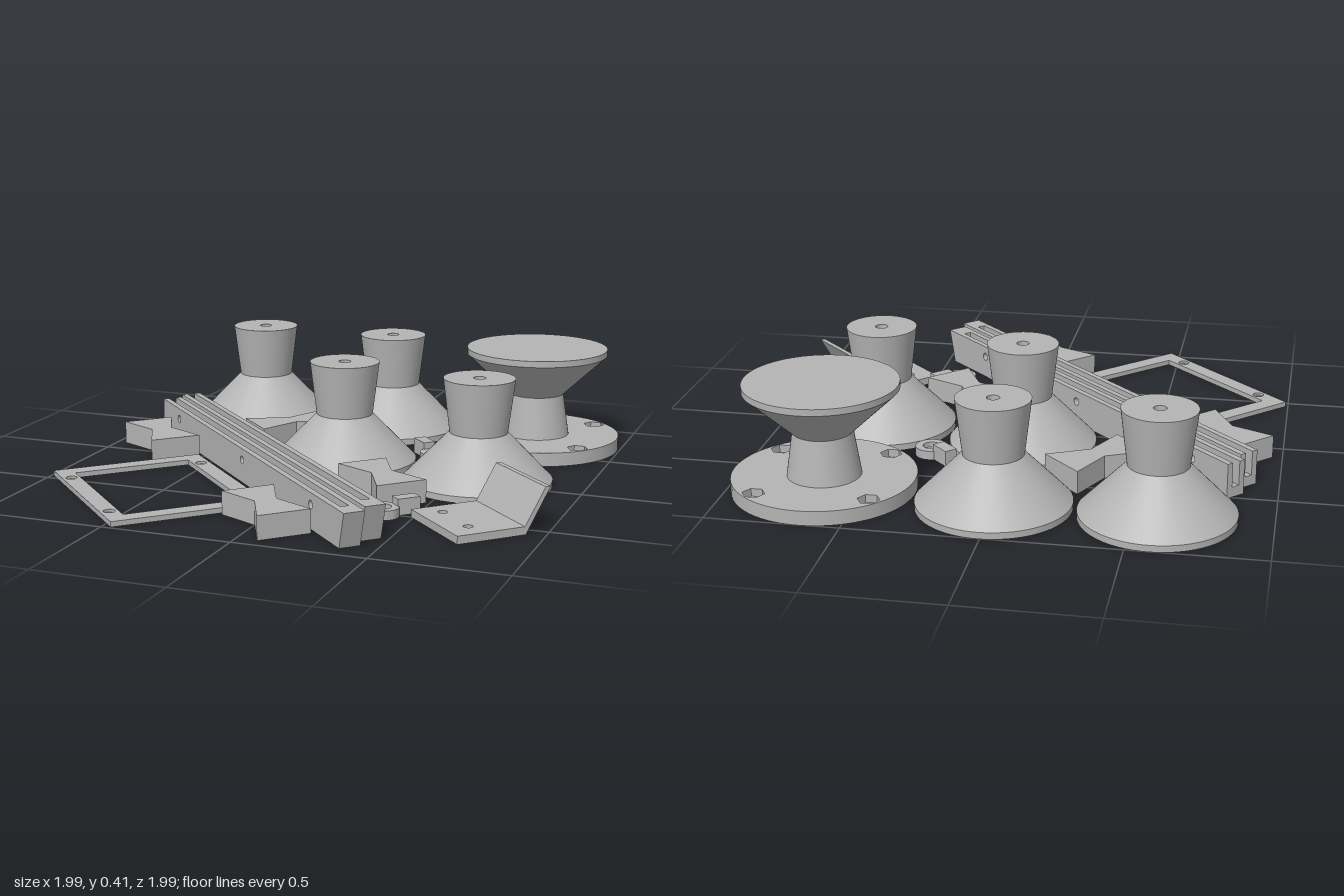
import * as THREE from 'three';
import { toCreasedNormals } from 'three/addons/utils/BufferGeometryUtils.js';

const plastic = new THREE.MeshStandardMaterial({ color: 0xb4b4b4 });
plastic.name = 'light grey plastic';

const V = (x, y) => new THREE.Vector2(x, y);

function mesh(name, geometry) {
  const m = new THREE.Mesh(toCreasedNormals(geometry, 0.5), plastic);
  m.name = name;
  return m;
}

function place(name, x, z, angle, ...parts) {
  const g = new THREE.Group();
  g.name = name;
  g.position.set(x, 0, z);
  g.rotation.y = angle;
  g.add(...parts);
  return g;
}

const lathe = (pts) => new THREE.LatheGeometry(pts.map(([r, y]) => V(r, y)), 72);

// closed outline of a circle or regular polygon
function ring(x, y, r, n = 28) {
  return Array.from({ length: n }, (_, i) => {
    const a = (i / n) * Math.PI * 2;
    return V(x + r * Math.cos(a), y + r * Math.sin(a));
  });
}

const rect = (w, d) => [V(-w / 2, -d / 2), V(w / 2, -d / 2), V(w / 2, d / 2), V(-w / 2, d / 2)];

function extrude(outline, holes, depth) {
  const shape = new THREE.Shape(outline);
  holes.forEach((h) => shape.holes.push(new THREE.Path(h)));
  return new THREE.ExtrudeGeometry(shape, { depth, bevelEnabled: false });
}

// outline given in x and z, standing from y0 to y1
const slab = (outline, holes, y0, y1) =>
  extrude(outline, holes, y1 - y0).rotateX(Math.PI / 2).translate(0, y1, 0);

// outline given in x and y, running from z0 to z1
const sideways = (outline, holes, z0, z1) => extrude(outline, holes, z1 - z0).translate(0, 0, z0);

// flared spool with a bore
function spool(x, z) {
  const body = lathe([[0.024, 0], [0.287, 0], [0.287, 0.025], [0.112, 0.205],
    [0.138, 0.415], [0.024, 0.415], [0.024, 0]]);
  return place('spool', x, z, 0, mesh('spoolBody', body));
}

// inverted spool on a round flange with nut pockets
function flangedSpool() {
  const spots = [[-0.22, -0.2], [0.2, -0.22], [-0.195, 0.225], [0.225, 0.195]];
  const outline = ring(0, 0, 0.343, 72);
  const lower = slab(outline, spots.map(([x, z]) => ring(x, z, 0.022)), 0, 0.025);
  const upper = slab(outline, spots.map(([x, z]) => ring(x, z, 0.042, 6)), 0.025, 0.055);
  const stem = lathe([[0.138, 0.055], [0.112, 0.225], [0.287, 0.39], [0.287, 0.415], [0, 0.415]]);
  return place('flangedSpool', 0.65, -0.66, 0,
    mesh('flangeBase', lower), mesh('flangeTop', upper), mesh('flaredStem', stem));
}

// long grooved rail with one slanted end
function rail(x, z) {
  const end = (y) => 0.93 - 0.038 * (1 - y / 0.135);
  const profile = (start, y0, y1) => [V(start, y0), V(end(y0), y0), V(end(y1), y1), V(start, y1)];
  const holes = [-0.73, -0.01, 0.65].map((u) => ring(u, 0.09, 0.016, 20));
  const parts = [
    mesh('railFloor', sideways(profile(-0.93, 0, 0.04), [], -0.016, 0.016)),
    mesh('railEnd', sideways(profile(0.85, 0.04, 0.135), [], -0.016, 0.016)),
  ];
  for (const s of [-1, 1]) {
    const wall = sideways(profile(-0.93, 0, 0.135), holes, -0.012, 0.012).translate(0, 0, s * 0.028);
    parts.push(mesh('railWall', wall));
  }
  return place('rail', x, z, -Math.PI / 4, ...parts);
}

// thin rectangular frame with countersunk corner holes
function frame() {
  const outline = rect(0.743, 0.6), opening = rect(0.607, 0.464);
  const spots = [-1, 1].flatMap((a) => [-1, 1].map((b) => [a * 0.243, b * 0.265]));
  const layer = (r, y0, y1) =>
    slab(outline, [opening, ...spots.map(([u, v]) => ring(u, v, r))], y0, y1);
  return place('frame', -0.516, 0.516, -Math.PI / 4,
    mesh('frameBase', layer(0.014, 0, 0.01)), mesh('frameTop', layer(0.022, 0.01, 0.02)));
}

// bow-tie shaped block
function bowtie(x, z, angle) {
  const outline = [V(-0.17, -0.102), V(0, -0.042), V(0.17, -0.102),
    V(0.17, 0.102), V(0, 0.042), V(-0.17, 0.102)];
  return place('bowtieBlock', x, z, angle, mesh('bowtie', slab(outline, [], 0, 0.09)));
}

// small ring with an arm
function eyelet(x, z, angle) {
  const base = slab(ring(0, 0, 0.062, 40), [ring(0, 0, 0.016)], 0, 0.015);
  const rim = slab(ring(0, 0, 0.062, 40), [ring(0, 0, 0.033)], 0.015, 0.035);
  const arm = new THREE.BoxGeometry(0.09, 0.062, 0.05).translate(0.095, 0.031, 0);
  return place('eyelet', x, z, angle,
    mesh('eyeletBase', base), mesh('eyeletRim', rim), mesh('eyeletArm', arm));
}

// foot plate with a leaning upright
function bracket() {
  const w = 0.352;
  const foot = rect(w, 0.267).map((p) => V(p.x, p.y + 0.2335));
  const plate = slab(foot, [ring(-0.1, 0.278, 0.018), ring(0.09, 0.278, 0.018)], 0, 0.03);
  // side section in (z, y), turned so that it runs along x
  const section = [V(0, 0.165), V(0.02, 0.165), V(0.1, 0.03), V(0.1, 0), V(0.096, 0)];
  const upright = extrude(section.map((p) => V(-p.x, p.y)), [], w)
    .rotateY(Math.PI / 2).translate(-w / 2, 0, 0);
  return place('bracket', 0.874, 0.366, -Math.PI / 4,
    mesh('bracketFoot', plate), mesh('bracketUpright', upright));
}

export function createModel() {
  const model = new THREE.Group();
  model.name = 'partsSet';
  for (const [x, z] of [[-0.585, -0.715], [0.005, -0.715], [0.005, -0.12], [0.59, -0.015]]) {
    model.add(spool(x, z));
  }
  const q = Math.PI / 4;
  model.add(
    flangedSpool(),
    rail(-0.187, 0.174), rail(-0.227, 0.275),
    frame(),
    bowtie(-0.324, -0.374, q), bowtie(-0.77, -0.043, -q),
    bowtie(0.294, 0.262, -q), bowtie(0.032, 0.76, -q),
    eyelet(0.334, -0.283, 3 * q), eyelet(0.388, 0.519, q),
    bracket(),
  );
  return model;
}
